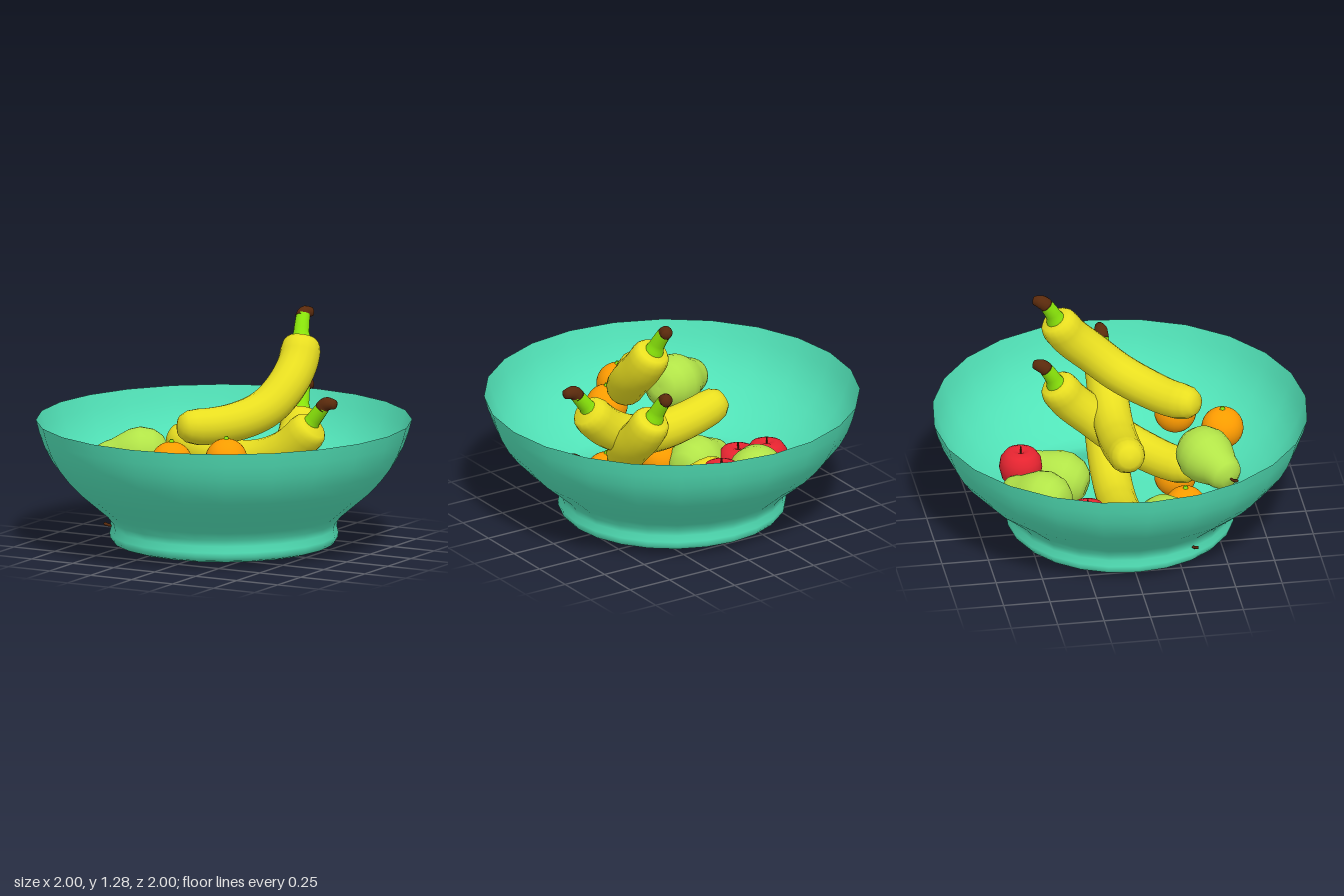
import * as THREE from 'three';
import { mergeVertices } from 'three/addons/utils/BufferGeometryUtils.js';

const mat = (color, side = THREE.FrontSide) => new THREE.MeshStandardMaterial({ color, side });
const mats = {
  bowl: mat(0x52e4b9, THREE.DoubleSide),
  banana: mat(0xe8de20),
  green: mat(0x8ae60a),
  brown: mat(0x5a2a0c),
  apple: mat(0xe62430),
  orange: mat(0xff9c00),
  pear: mat(0xb2e448),
};
const V = (p) => new THREE.Vector3(...p);

function mesh(name, geometry, material, parent) {
  const m = new THREE.Mesh(geometry, material);
  m.name = name;
  parent.add(m);
  return m;
}

function lathe(points, segments) {
  return new THREE.LatheGeometry(points.map(([r, y]) => new THREE.Vector2(r, y)), segments);
}

// Smooth tube whose radius follows [u, radius] stops along the path
function taperedTube(path, stops, rings = 24, sides = 16) {
  const curve = new THREE.CatmullRomCurve3(path.map(V));
  const geo = new THREE.TubeGeometry(curve, rings, 1, sides);
  const pos = geo.attributes.position;
  const v = new THREE.Vector3();
  for (let i = 0; i <= rings; i++) {
    const u = i / rings;
    const k = Math.max(1, stops.findIndex((s) => s[0] >= u - 1e-6));
    const [u0, r0] = stops[k - 1], [u1, r1] = stops[k];
    const r = r0 + (r1 - r0) * (u - u0) / (u1 - u0);
    const c = curve.getPointAt(u);
    for (let j = 0; j <= sides; j++) {
      const n = i * (sides + 1) + j;
      v.fromBufferAttribute(pos, n).sub(c).multiplyScalar(r).add(c);
      pos.setXYZ(n, v.x, v.y, v.z);
    }
  }
  geo.deleteAttribute('uv');
  geo.deleteAttribute('normal');
  const merged = mergeVertices(geo, 1e-5);
  merged.computeVertexNormals();
  return merged;
}

// Banana: body, green stalk and hooked brown end
function banana(body, stalk, end, y) {
  const g = new THREE.Group();
  g.name = 'banana';
  mesh('bananaBody', taperedTube(body,
    [[0, 0], [0.02, 0.058], [0.06, 0.086], [0.12, 0.098], [0.35, 0.104], [0.75, 0.108],
      [0.92, 0.107], [0.96, 0.098], [0.98, 0.082], [1, 0]], 50), mats.banana, g);
  mesh('bananaStalk', taperedTube(stalk, [[0, 0.06], [0.4, 0.042], [1, 0.037]], 10), mats.green, g);
  mesh('bananaEnd', taperedTube(end, [[0, 0], [0.1, 0.038], [0.5, 0.036], [0.9, 0.024], [1, 0]], 10), mats.brown, g);
  g.position.y = y;
  return g;
}

const appleGeo = lathe([[0, -0.085], [0.03, -0.1], [0.065, -0.095], [0.1, -0.055], [0.115, 0.005],
  [0.108, 0.055], [0.082, 0.092], [0.052, 0.104], [0.022, 0.096], [0, 0.08]], 28);

const pearGeo = lathe([[0, -0.138], [0.045, -0.142], [0.09, -0.124], [0.13, -0.08], [0.152, -0.01],
  [0.146, 0.05], [0.124, 0.105], [0.105, 0.15], [0.098, 0.185], [0.085, 0.22], [0.052, 0.246], [0, 0.253]], 28);

const pearStemGeo = taperedTube([[0, 0, 0], [0.004, 0.03, 0], [0.02, 0.06, 0]],
  [[0, 0.006], [0.9, 0.009], [1, 0]], 10, 8);

function apple(p) {
  const g = new THREE.Group();
  g.name = 'apple';
  mesh('appleBody', appleGeo, mats.apple, g);
  mesh('appleStem', new THREE.CylinderGeometry(0.005, 0.004, 0.05, 8), mats.brown, g).position.y = 0.1;
  g.position.set(...p);
  return g;
}

function orange(p) {
  const g = new THREE.Group();
  g.name = 'orange';
  mesh('orangeBody', new THREE.SphereGeometry(0.112, 28, 20), mats.orange, g);
  mesh('orangeCalyx', new THREE.CylinderGeometry(0.008, 0.017, 0.02, 8), mats.green, g).position.y = 0.116;
  g.position.set(...p);
  return g;
}

// Pear lying down, neck pointing along dir
function pear(p, dir) {
  const g = new THREE.Group();
  g.name = 'pear';
  mesh('pearBody', pearGeo, mats.pear, g);
  mesh('pearStem', pearStemGeo, mats.brown, g).position.y = 0.245;
  g.quaternion.setFromUnitVectors(new THREE.Vector3(0, 1, 0), V(dir).normalize());
  g.position.set(...p);
  return g;
}

export function createModel() {
  const model = new THREE.Group();
  model.name = 'fruitBowl';

  // Thin-walled bowl with a low flared foot and a slight waist above it
  mesh('bowl', lathe([[0, 0.025], [0.45, 0.025], [0.55, 0.031], [0.59, 0.045], [0.606, 0.065], [0.608, 0.09],
    [0.6, 0.125], [0.606, 0.16], [0.64, 0.202], [0.705, 0.257], [0.785, 0.325], [0.855, 0.398],
    [0.91, 0.47], [0.952, 0.548], [0.98, 0.625], [1, 0.7]], 24),
  mats.bowl, model);

  // Two crossing stacks of bananas
  for (const y of [0, -0.39]) {
    model.add(banana(
      [[-0.05, 0.73, 0.42], [0.06, 0.715, 0.29], [0.18, 0.735, 0.16], [0.27, 0.79, 0.03],
        [0.32, 0.89, -0.1], [0.325, 1.005, -0.225], [0.305, 1.13, -0.305]],
      [[0.31, 1.09, -0.285], [0.295, 1.16, -0.315], [0.28, 1.235, -0.36]],
      [[0.28, 1.215, -0.345], [0.28, 1.24, -0.37], [0.31, 1.244, -0.42]], y));
    model.add(banana(
      [[-0.335, 0.6, 0], [-0.2, 0.548, 0], [-0.05, 0.511, 0], [0.1, 0.494, 0],
        [0.25, 0.515, 0], [0.4, 0.585, 0], [0.555, 0.73, 0]],
      [[0.5, 0.69, 0], [0.55, 0.755, 0], [0.605, 0.825, 0]],
      [[0.59, 0.807, 0], [0.62, 0.84, 0], [0.69, 0.842, 0]], y));
  }

  const apples = [[0.03, 0.39, -0.53], [-0.16, 0.14, -0.2], [-0.47, 0.28, -0.2], [-0.47, 0.15, 0.08]];
  const oranges = [[0.2, 0.557, 0.33], [-0.01, 0.557, 0.55], [-0.14, 0.167, 0.33], [0.2, 0.167, 0.33]];
  const pears = [
    [[-0.245, 0.34, -0.45], [0.66, -0.1, -0.73]],
    [[0.2, 0.2, -0.28], [0.42, 0.25, -0.88]],
    [[-0.275, 0.155, 0.195], [-0.9, -0.1, 0.42]],
    [[-0.27, 0.55, 0.41], [-0.9, -0.14, 0.42]],
  ];
  apples.forEach((p) => model.add(apple(p)));
  oranges.forEach((p) => model.add(orange(p)));
  pears.forEach(([p, d]) => model.add(pear(p, d)));
  return model;
}
